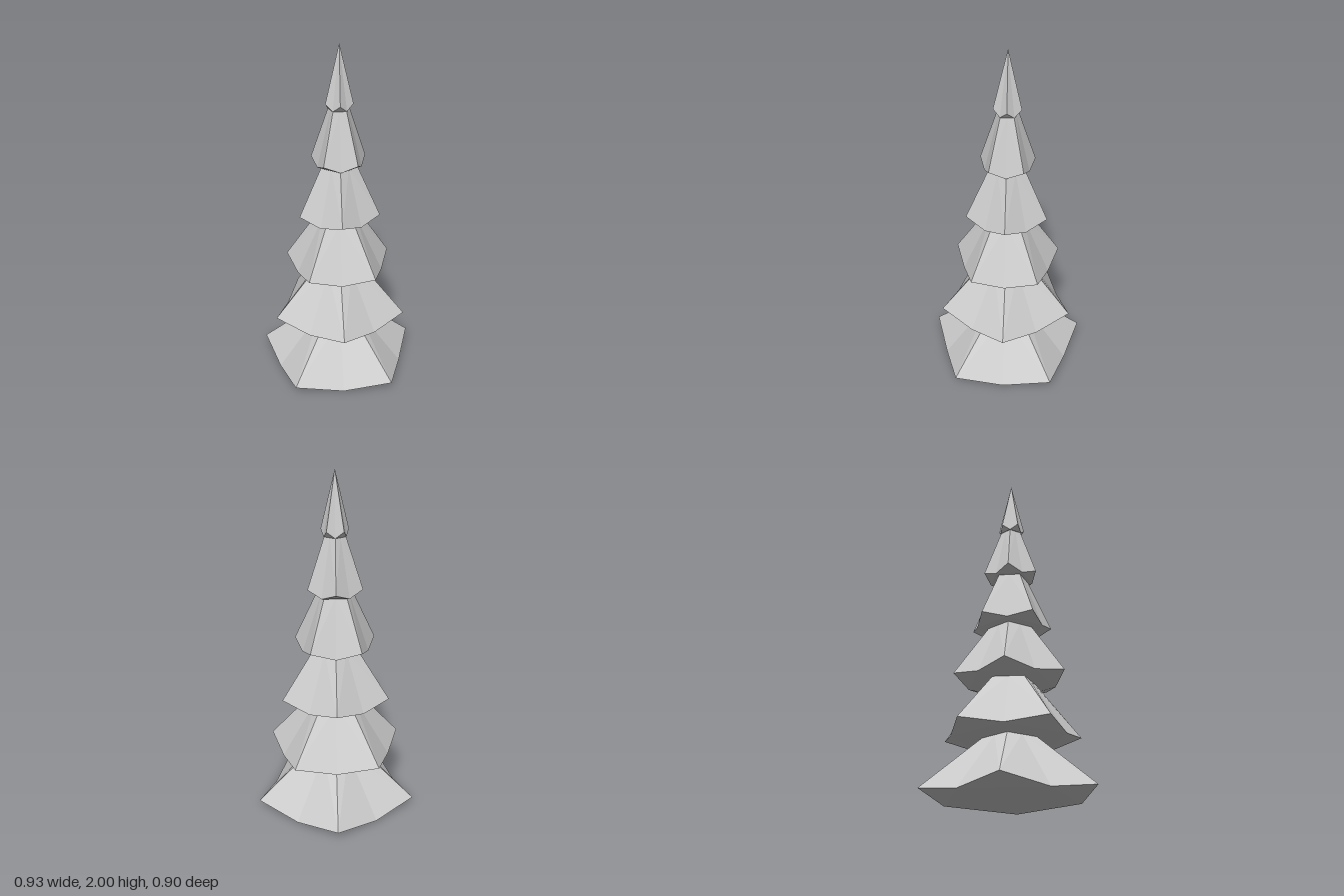
import * as THREE from 'three';

// One five-pointed skirt of branches: raised corners, lower edge midpoints.
function tierGeometry(R, low, lift, topR, topY, turn) {
  const apothem = Math.cos(Math.PI / 5);
  const ring = (r, yCorner, yMid) => Array.from({ length: 10 }, (_, i) => {
    const a = turn + (i * Math.PI) / 5;
    const mid = i % 2 === 1;
    const d = mid ? r * apothem : r;
    return [Math.sin(a) * d, mid ? yMid : yCorner, Math.cos(a) * d];
  });
  const rim = ring(R, low + lift, low);
  const top = ring(topR, topY, topY);
  const centre = [0, low, 0];
  const pos = [];
  const tri = (...corners) => corners.forEach((c) => pos.push(...c));

  for (let i = 0; i < 10; i += 2) {
    const m = i + 1, n = (i + 2) % 10, p = (i + 9) % 10;
    // sloping side between two ridges
    tri(rim[i], rim[m], top[m]);
    tri(rim[m], rim[n], top[m]);
    if (topR > 0) {
      tri(rim[i], top[m], top[i]);
      tri(rim[n], top[n], top[m]);
    }
    // upturned corner and flat underside
    tri(rim[i], rim[p], rim[m]);
    tri(centre, rim[m], rim[p]);
  }
  const g = new THREE.BufferGeometry();
  g.setAttribute('position', new THREE.Float32BufferAttribute(pos, 3));
  g.computeVertexNormals();
  return g;
}

export function createModel() {
  const group = new THREE.Group();
  group.name = 'firTree';
  const material = new THREE.MeshStandardMaterial({ color: 0xcccccc, flatShading: true });

  // Evenly stacked tiers, each turned half a round from the one below
  const topRadii = [0.155, 0.148, 0.13, 0.105, 0.062, 0];
  const step = 0.328;
  topRadii.forEach((topR, i) => {
    const R = 0.489 - i * 0.0815;
    const low = i * step;
    const topY = i === 5 ? 2 : low + step + 0.003;
    const lift = i === 0 ? 0.043 : 0.036;
    const tier = new THREE.Mesh(
      tierGeometry(R, low, lift, topR, topY, i % 2 ? Math.PI : 0), material);
    tier.name = i === 5 ? 'treeTip' : `branchTier${i + 1}`;
    tier.position.z = -0.042;
    group.add(tier);
  });
  return group;
}
